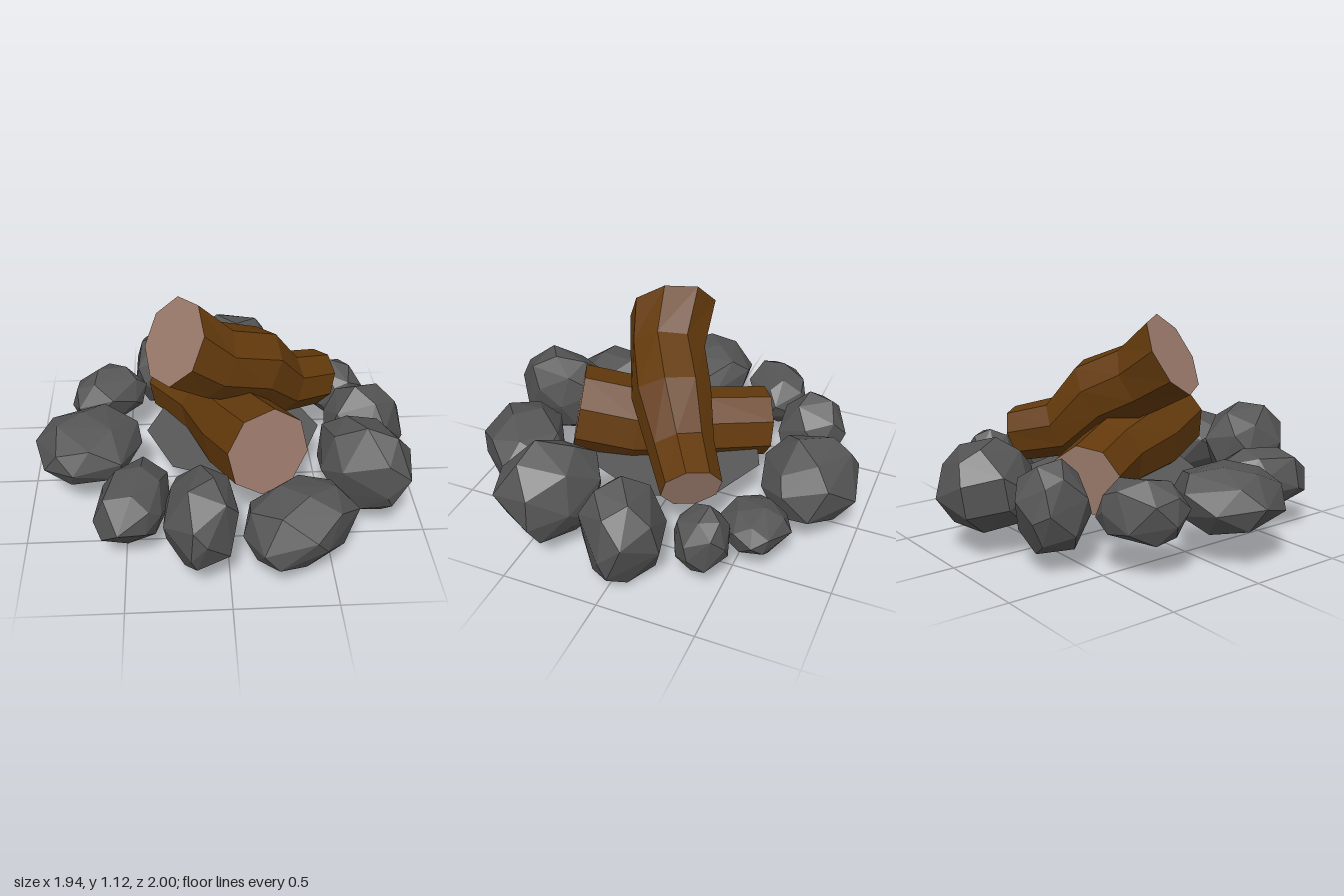
import * as THREE from 'three';
import { ConvexGeometry } from 'three/addons/geometries/ConvexGeometry.js';

const material = (name, color, side = THREE.FrontSide) => {
  const m = new THREE.MeshStandardMaterial({ color, flatShading: true, side });
  m.name = name;
  return m;
};

// small seeded generator for the stone shapes
function seeded(seed) {
  let s = seed * 7919 + 17;
  return () => {
    s = (s * 16807) % 2147483647;
    return s / 2147483647;
  };
}

// chunky convex boulder fitted to a box; leanZ and leanY slant it sideways in x
function stoneGeometry([x0, x1, y0, y1, z0, z1, leanZ = 0, leanY = 0], seed) {
  const rand = seeded(seed);
  for (let i = 0; i < 5; i++) rand();
  const n = 24, pts = [];
  for (let i = 0; i < n; i++) {
    const y = 1 - (2 * (i + 0.5)) / n;
    const a = i * 2.39996 + rand() * 0.5 + seed;
    const p = new THREE.Vector3(Math.cos(a) * Math.sqrt(1 - y * y), y + (rand() - 0.5) * 0.2,
      Math.sin(a) * Math.sqrt(1 - y * y));
    p.normalize().multiplyScalar(0.95 + rand() * 0.1);
    p.x += leanZ * p.z + leanY * p.y;
    pts.push(p);
  }
  const box = new THREE.Box3().setFromPoints(pts);
  const size = box.getSize(new THREE.Vector3());
  pts.forEach((p) => {
    p.sub(box.min).divide(size);
    p.set(x0 + p.x * (x1 - x0), y0 + p.y * (y1 - y0), z0 + p.z * (z1 - z0));
  });
  return new ConvexGeometry(pts);
}

function triangles(list) {
  const g = new THREE.BufferGeometry().setFromPoints(list);
  g.computeVertexNormals();
  return g;
}

// crooked log lofted through stations [x, y, z, radius], with sawn ends
function makeLog(name, stations, bark, cut, startDir, endDir, sides = 8) {
  const centres = stations.map((s) => new THREE.Vector3(s[0], s[1], s[2]));
  const last = centres.length - 1;
  const rings = centres.map((c, k) => {
    const t = centres[Math.min(k + 1, last)].clone().sub(centres[Math.max(k - 1, 0)]);
    if (k === 0) t.set(...startDir);
    if (k === last) t.set(...endDir);
    t.normalize();
    const side = new THREE.Vector3(0, 1, 0).cross(t).normalize();
    const up = t.clone().cross(side);
    return Array.from({ length: sides }, (_, i) => {
      const a = ((i + 0.3) / sides) * Math.PI * 2;
      return c.clone().addScaledVector(side, Math.cos(a) * stations[k][3])
        .addScaledVector(up, Math.sin(a) * stations[k][3]);
    });
  });
  const skin = [], ends = [];
  for (let i = 0; i < sides; i++) {
    const j = (i + 1) % sides;
    for (let k = 0; k < last; k++) {
      const a = rings[k][i], b = rings[k][j], c = rings[k + 1][j], d = rings[k + 1][i];
      skin.push(a, b, c, a, c, d);
    }
    ends.push(centres[0], rings[0][j], rings[0][i]);
    ends.push(centres[last], rings[last][i], rings[last][j]);
  }
  const group = new THREE.Group();
  group.name = name;
  const barkMesh = new THREE.Mesh(triangles(skin), bark);
  barkMesh.name = name + 'Bark';
  const endMesh = new THREE.Mesh(triangles(ends), cut);
  endMesh.name = name + 'CutEnds';
  group.add(barkMesh, endMesh);
  return group;
}

export function createModel() {
  const model = new THREE.Group();
  model.name = 'campfire';
  const stone = material('stone grey', 0x555555);
  const ash = material('ash grey', 0x585858, THREE.DoubleSide);
  const bark = material('bark brown', 0x643a0c);
  const cut = material('cut wood', 0x9c7b6c);

  // ring of stones: x range, y range, z range, lean
  const stones = [
    [-0.14, 0.35, 0.10, 0.56, -1.00, -0.51],
    [-0.47, -0.15, 0.09, 0.54, -0.83, -0.49],
    [-0.81, -0.40, 0.15, 0.47, -0.54, -0.18, -0.3],
    [-0.97, -0.42, 0.15, 0.47, -0.16, 0.36],
    [-0.65, -0.28, 0.11, 0.43, 0.29, 0.81, -0.35],
    [-0.31, 0.04, 0.10, 0.58, 0.51, 1.00],
    [0.06, 0.62, 0.08, 0.47, 0.47, 0.96, -0.3],
    [0.47, 0.93, 0.08, 0.61, 0.15, 0.60, 0.3, -0.1],
    [0.54, 0.97, 0.00, 0.55, -0.24, 0.19],
    [0.54, 0.81, 0.12, 0.46, -0.53, -0.26],
    [0.29, 0.65, 0.15, 0.39, -0.77, -0.42],
  ];
  const ring = new THREE.Group();
  ring.name = 'stoneRing';
  stones.forEach((s, i) => {
    const m = new THREE.Mesh(stoneGeometry(s, i + 1), stone);
    m.name = 'stone' + (i + 1);
    ring.add(m);
  });
  model.add(ring);

  // flat bed of ash
  const bed = new THREE.Mesh(new THREE.CircleGeometry(0.455, 8), ash);
  bed.name = 'ashBed';
  bed.rotation.x = -Math.PI / 2;
  bed.position.set(0.06, 0.3, -0.02);
  model.add(bed);

  // two crossed logs, one propped on the other
  model.add(makeLog('upperLog', [
    [-0.24, 0.93, 0.13, 0.225],
    [-0.05, 0.79, 0.08, 0.195],
    [0.16, 0.69, -0.03, 0.2],
    [0.32, 0.50, -0.15, 0.165],
    [0.53, 0.44, -0.29, 0.15],
  ], bark, cut, [0.75, -0.5, -0.42], [0.8, -0.35, -0.5]));
  model.add(makeLog('lowerLog', [
    [0.20, 0.50, 0.47, 0.22],
    [0.09, 0.43, 0.20, 0.22],
    [-0.05, 0.40, -0.12, 0.185],
    [-0.23, 0.37, -0.40, 0.18],
  ], bark, cut, [-0.38, -0.2, -0.9], [-0.5, -0.1, -0.8]));
  return model;
}
